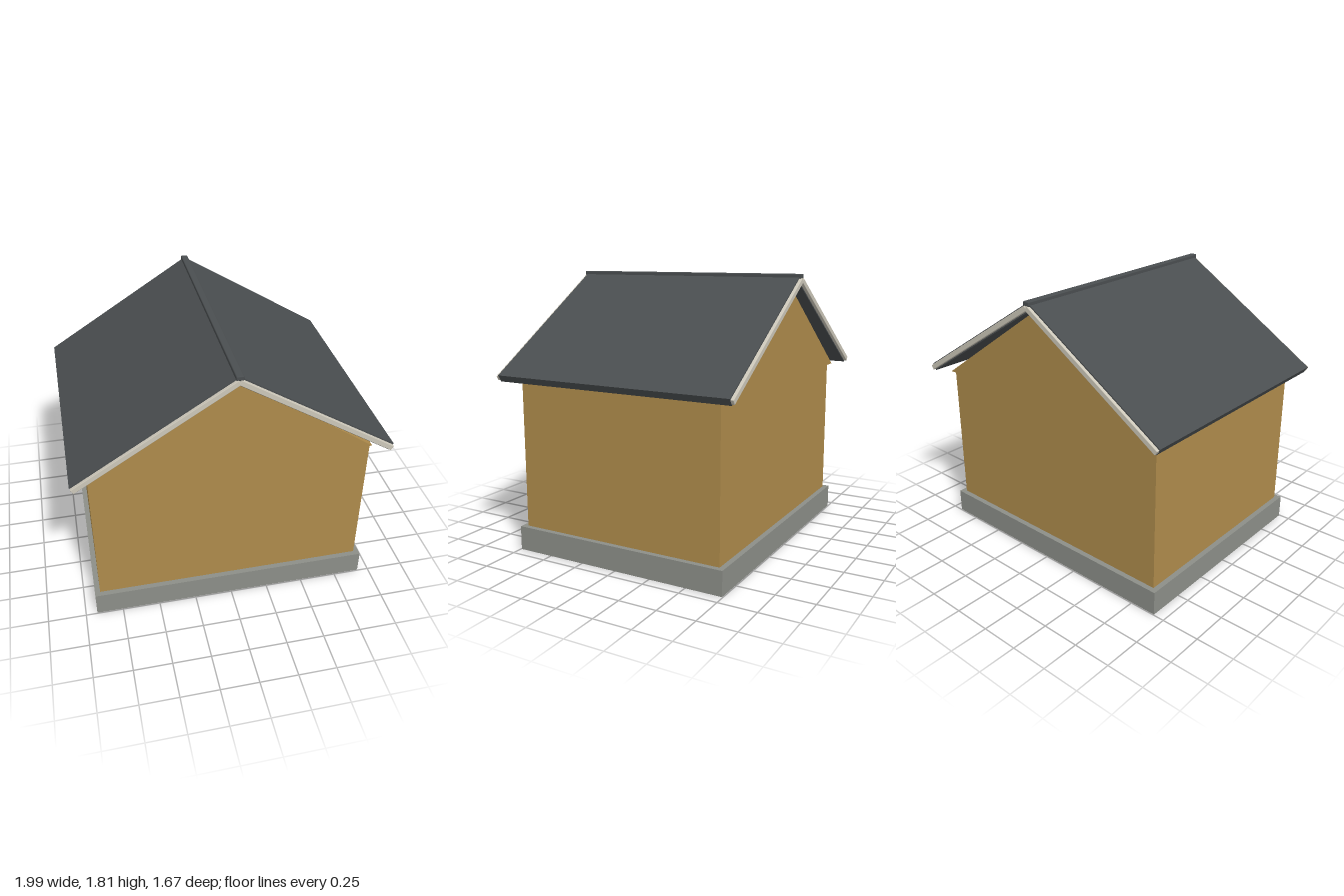
import * as THREE from 'three';
import { RoundedBoxGeometry } from 'three/addons/geometries/RoundedBoxGeometry.js';

const mat = (color) => new THREE.MeshStandardMaterial({ color });

export function createModel() {
  const house = new THREE.Group();
  house.name = 'house';
  const stone = mat(0x8c8e88), timber = mat(0xae8b4b), slate = mat(0x4a4e50), trim = mat(0xcdc8ba);

  function add(parent, name, geometry, material, x, y, z) {
    const mesh = new THREE.Mesh(geometry, material);
    mesh.name = name;
    mesh.position.set(x, y, z);
    parent.add(mesh);
    return mesh;
  }

  // Plinth and walls
  add(house, 'foundation', new THREE.BoxGeometry(1.85, 0.16, 1.49), stone, 0, 0.08, 0);
  add(house, 'walls', new THREE.BoxGeometry(1.78, 0.965, 1.42), timber, 0, 0.6425, 0);

  // Triangular gable panels, standing proud of the end walls
  const triangle = new THREE.Shape([
    new THREE.Vector2(-0.89, 0), new THREE.Vector2(0.89, 0), new THREE.Vector2(0, 0.615),
  ]);
  const gable = new THREE.ExtrudeGeometry(triangle, { depth: 0.035, bevelEnabled: false });
  add(house, 'frontGable', gable, timber, 0, 1.125, 0.71);
  add(house, 'backGable', gable, timber, 0, 1.125, -0.745);

  // Roof slopes with barge boards on both ends
  const run = 0.983, ridgeY = 1.77, eaveY = 1.155;
  const length = Math.hypot(run, ridgeY - eaveY);
  const pitch = Math.atan2(ridgeY - eaveY, run);
  for (const side of [1, -1]) {
    const slope = new THREE.Group();
    slope.name = side > 0 ? 'leftRoofSlope' : 'rightRoofSlope';
    slope.position.set(side * run / 2, (ridgeY + eaveY) / 2, 0);
    slope.rotation.z = -side * pitch;
    add(slope, 'roofPanel', new THREE.BoxGeometry(length, 0.05, 1.63), slate, 0, 0, 0);
    for (const end of [1, -1]) {
      add(slope, 'bargeBoard', new RoundedBoxGeometry(length, 0.034, 0.03, 1, 0.004), trim, 0, 0, end * 0.82);
    }
    house.add(slope);
  }

  // Ridge cap
  add(house, 'ridgeCap', new RoundedBoxGeometry(0.046, 0.03, 1.66, 1, 0.006), slate, 0, 1.793, 0);

  return house;
}
